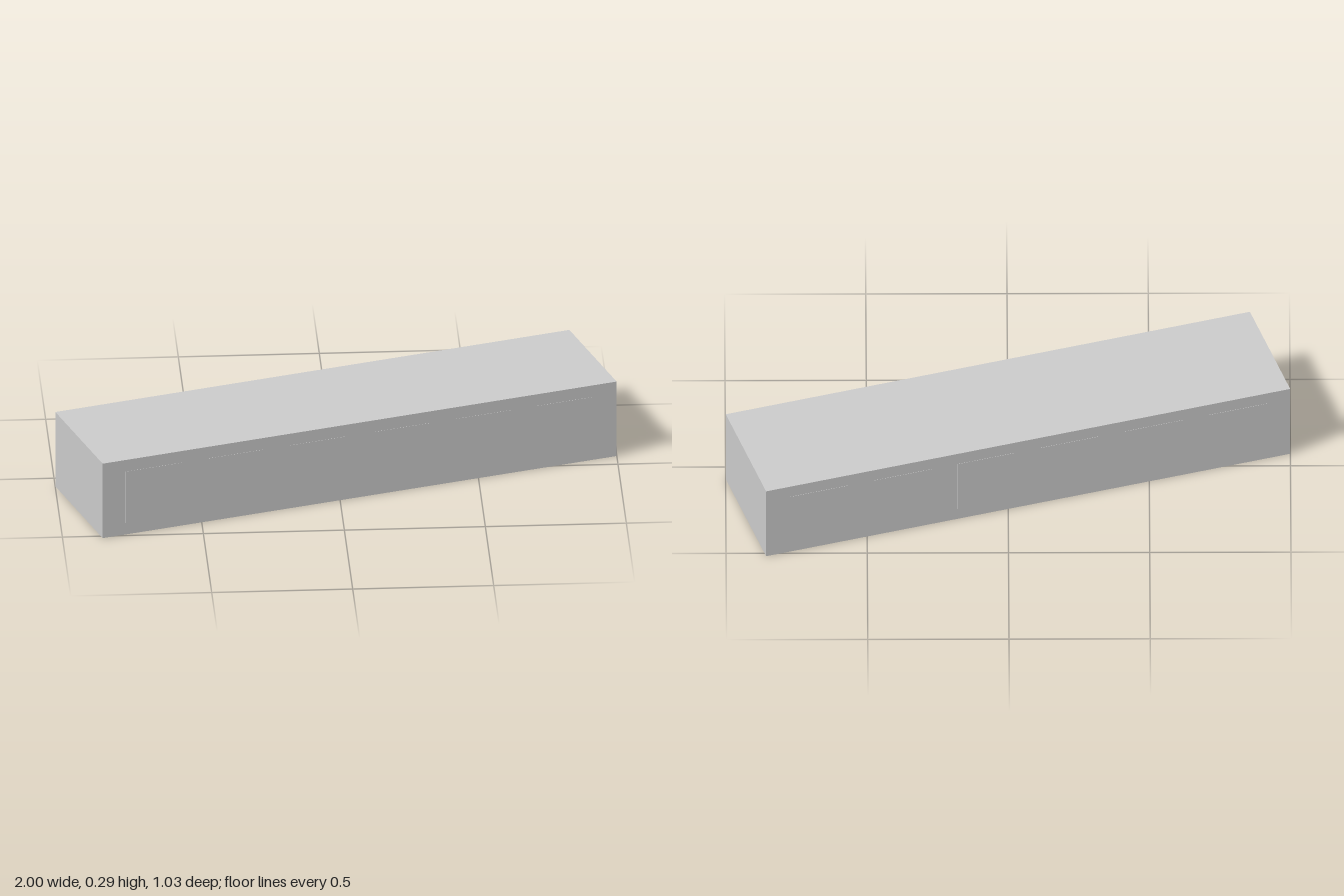
import * as THREE from 'three';

const LENGTH = 1.948, DEPTH = 0.469, HEIGHT = 0.29, TURN = 0.306;
const PANELS = 6, PITCH = 0.3115, PANEL_W = 0.216, PANEL_H = 0.2, PANEL_Y = 0.145;

export function createModel() {
  const model = new THREE.Group();
  model.name = 'longHall';
  const material = new THREE.MeshStandardMaterial({ color: 0xcccccc, side: THREE.DoubleSide });

  const add = (parent, name, geometry, x, y, z) => {
    const mesh = new THREE.Mesh(geometry, material);
    mesh.name = name;
    mesh.position.set(x, y, z);
    parent.add(mesh);
    return mesh;
  };

  // The block stands turned about the vertical axis
  const block = new THREE.Group();
  block.name = 'block';
  block.rotation.y = TURN;
  model.add(block);

  // Flat roof; the underside of the block is open
  add(block, 'roof', new THREE.PlaneGeometry(LENGTH, DEPTH), 0, HEIGHT, 0).rotation.x = -Math.PI / 2;

  // Two identical halves: a long wall with its panels, and an end wall
  for (const [label, angle] of [['front', 0], ['back', Math.PI]]) {
    const half = new THREE.Group();
    half.name = label + 'Half';
    half.rotation.y = angle;
    block.add(half);

    add(half, 'longWall', new THREE.PlaneGeometry(LENGTH, HEIGHT), 0, HEIGHT / 2, DEPTH / 2);
    add(half, 'endWall', new THREE.PlaneGeometry(DEPTH, HEIGHT), LENGTH / 2, HEIGHT / 2, 0).rotation.y = Math.PI / 2;

    // Thin window panels set through the wall
    for (let i = 0; i < PANELS; i++) {
      const x = (i - (PANELS - 1) / 2) * PITCH;
      add(half, 'windowPanel', new THREE.BoxGeometry(PANEL_W, PANEL_H, 0.002), x, PANEL_Y, DEPTH / 2);
    }
  }
  return model;
}
